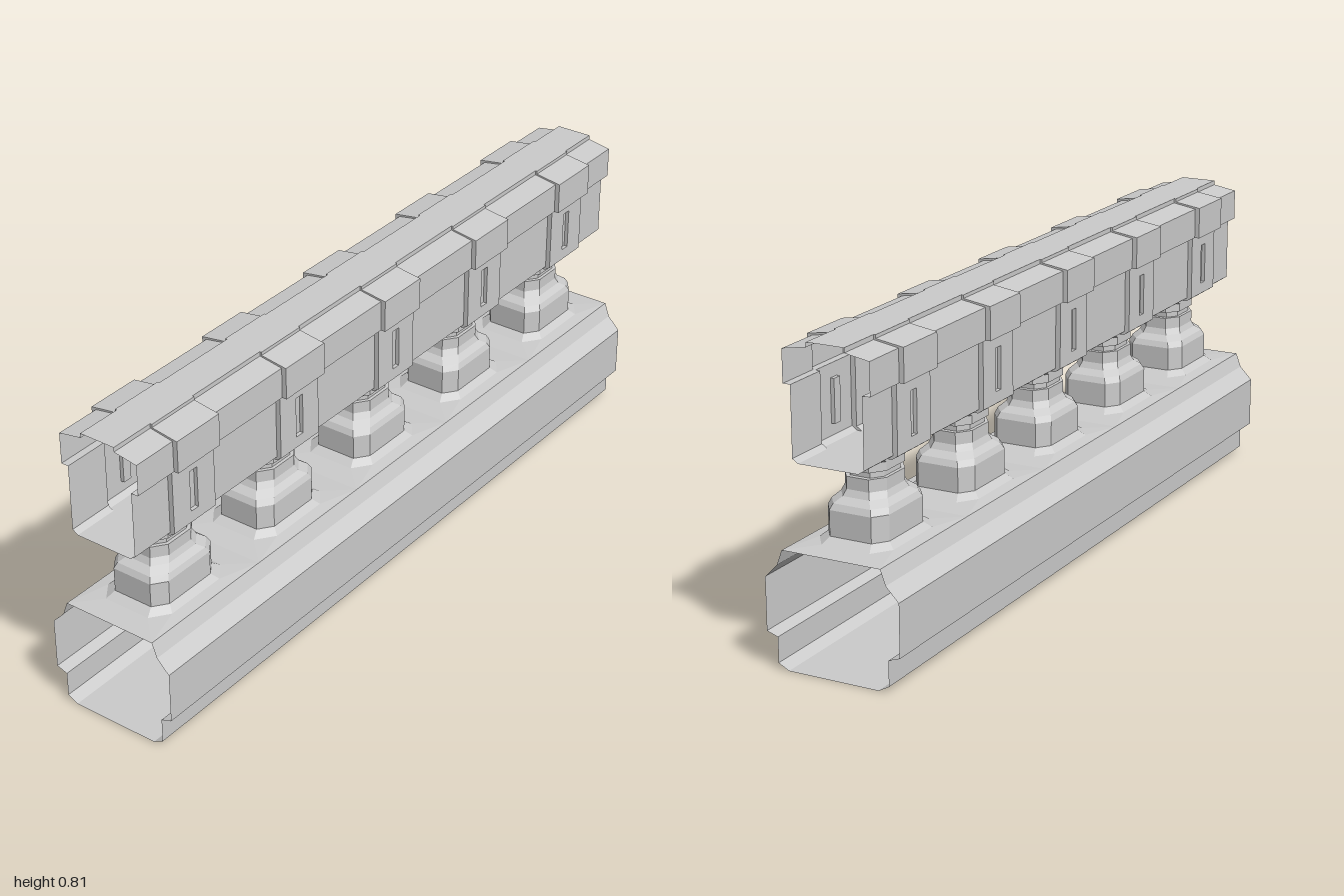
import * as THREE from 'three';

const material = new THREE.MeshStandardMaterial({ color: 0xcccccc, flatShading: true, side: THREE.DoubleSide });

// Skin a row of equal-length cross-sections; closed joins the last point to the first.
function loft(name, sections, closed) {
  const positions = [];
  const addTriangle = (a, b, c) => {
    const area = new THREE.Triangle(a, b, c).getArea();
    if (area > 1e-8) for (const p of [a, b, c]) positions.push(p.x, p.y, p.z);
  };
  for (let i = 0; i < sections.length - 1; i++) {
    const s = sections[i], t = sections[i + 1], n = s.length;
    for (let j = 0; j < (closed ? n : n - 1); j++) {
      const k = (j + 1) % n;
      addTriangle(s[j], s[k], t[k]);
      addTriangle(s[j], t[k], t[j]);
    }
  }
  const geometry = new THREE.BufferGeometry();
  geometry.setAttribute('position', new THREE.Float32BufferAttribute(positions, 3));
  geometry.computeVertexNormals();
  const mesh = new THREE.Mesh(geometry, material);
  mesh.name = name;
  return mesh;
}

// Mirror a right-hand half profile (bottom to top) and place it at depth z.
const section = (half, z) => [
  ...half.map(([x, y]) => new THREE.Vector3(x, y, z)),
  ...half.slice().reverse().map(([x, y]) => new THREE.Vector3(-x, y, z)),
];

// Half profile of the handrail: out widens it, slot pushes the groove in.
const railHalf = (out, slot) => {
  const wall = 0.095 + out, groove = wall - slot, lift = out * 0.25;
  return [
    [wall - 0.015, 0.515], [wall, 0.525],
    [wall, 0.555], [groove, 0.555], [groove, 0.665], [wall, 0.665],
    [wall, 0.7], [wall + 0.02, 0.7], [wall + 0.02, 0.782 + lift],
    [0.05 + out * 0.4, 0.793 + lift], [0.05 + out * 0.4, 0.805],
  ];
};

// Eight-sided ring with cut corners, longer along z than x.
function ring(y, a, b, cut) {
  const cz = cut * 1.35;
  return [
    [a, b - cz], [a, -b + cz], [a - cut, -b], [-a + cut, -b],
    [-a, -b + cz], [-a, b - cz], [-a + cut, b], [a - cut, b],
  ].map(([x, z]) => new THREE.Vector3(x, y, z));
}

export function createModel() {
  const group = new THREE.Group();
  const centres = [-0.8, -0.4, 0, 0.4, 0.8];

  // Plinth: hollow channel with open ends; the baluster skirts close its top
  const plinthHalf = [
    [0.122, 0], [0.15, 0.015], [0.15, 0.08], [0.18, 0.09],
    [0.18, 0.225], [0.146, 0.26], [0.132, 0.298],
  ];
  const plinthSection = (z) => {
    const s = section(plinthHalf, z), n = plinthHalf.length;
    return [...s.slice(n), ...s.slice(0, n)]; // starts and ends at the open top
  };
  group.add(loft('plinth', [plinthSection(-1), plinthSection(1)], false));

  // Balusters: skirt, body, shoulder, neck ring and square capital
  const profile = [
    [0.302, 0.1, 0.035], [0.317, 0.083, 0.027], [0.381, 0.083, 0.027], [0.396, 0.077, 0.027],
    [0.41, 0.063, 0.027], [0.426, 0.057, 0.027], [0.457, 0.057, 0.027], [0.457, 0.048, 0.021],
    [0.473, 0.048, 0.021], [0.473, 0.057, 0.027], [0.495, 0.057, 0.027], [0.515, 0.057, 0],
  ];
  const rings = [ring(0.298, 0.132, 0.2, 0), ...profile.map(([y, a, c]) => ring(y, a, a * 1.35, c))];
  for (const z of centres) {
    const baluster = loft('baluster', rings, true);
    baluster.position.z = z;
    group.add(baluster);
  }

  // Handrail: hollow, with a raised slotted band over every baluster
  const plain = railHalf(0, 0), raised = railHalf(0.013, 0), slotted = railHalf(0.013, 0.01);
  const rail = [section(plain, -1)];
  for (const z of centres) {
    const steps = [
      [plain, -0.075], [raised, -0.075], [raised, -0.013], [slotted, -0.013],
      [slotted, 0.013], [raised, 0.013], [raised, 0.075], [plain, 0.075],
    ];
    for (const [half, dz] of steps) rail.push(section(half, z + dz));
  }
  rail.push(section(plain, 1));
  group.add(loft('handrail', rail, true));

  return group;
}
